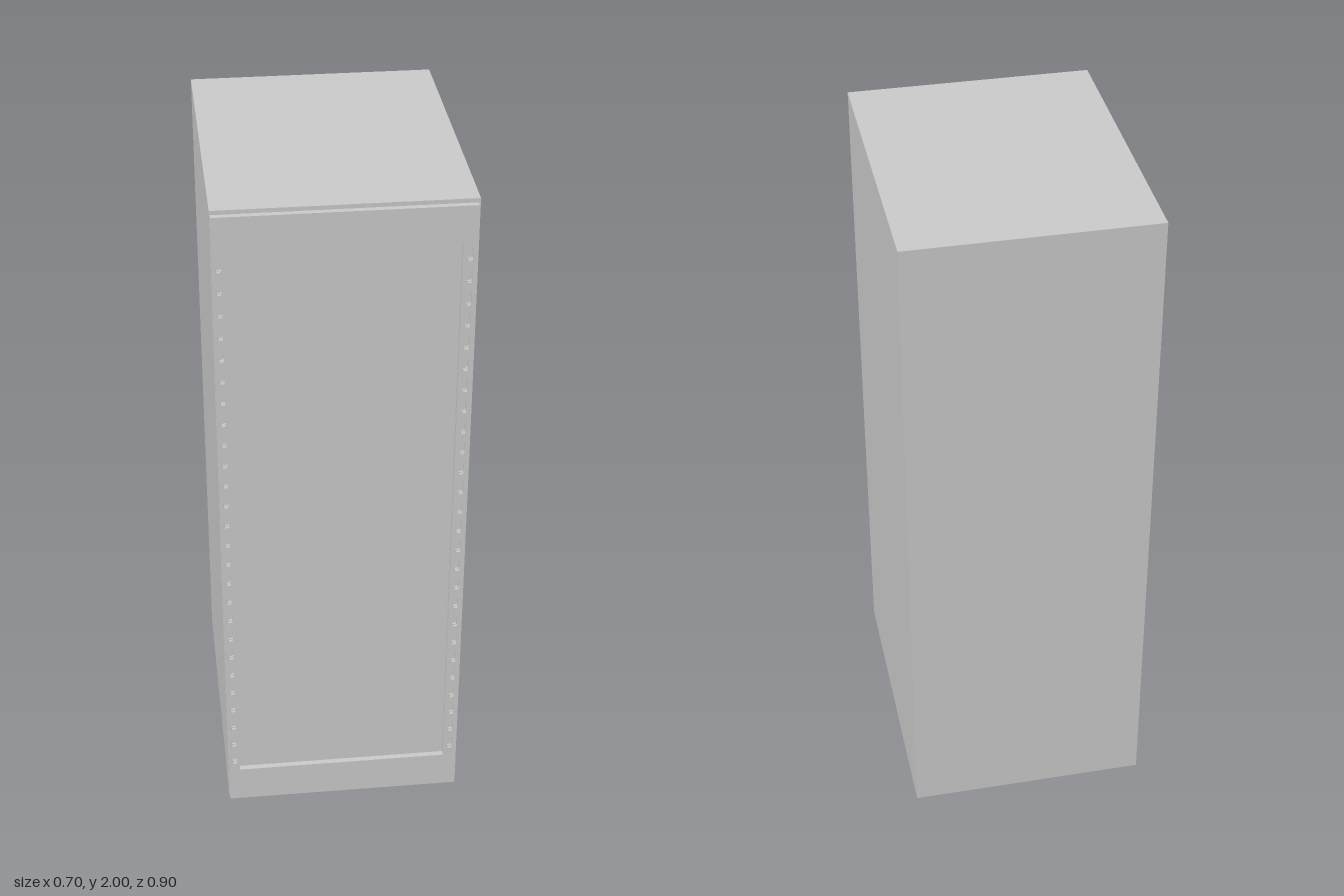
import * as THREE from 'three';

const material = new THREE.MeshStandardMaterial({ color: 0xcccccc, flatShading: true });

// Door outline and recessed opening
const DOOR = { x0: -0.35, x1: 0.347, y0: 0.01, y1: 1.988 };
const OPENING = { x0: -0.317, x1: 0.308, y0: 0.125, y1: 1.88 };

function add(parent, name, geometry) {
  const mesh = new THREE.Mesh(geometry, material);
  mesh.name = name;
  parent.add(mesh);
  return mesh;
}

function box(parent, name, [x0, x1], [y0, y1], [z0, z1]) {
  const mesh = add(parent, name, new THREE.BoxGeometry(x1 - x0, y1 - y0, z1 - z0));
  mesh.position.set((x0 + x1) / 2, (y0 + y1) / 2, (z0 + z1) / 2);
  return mesh;
}

function rectangle(Type, { x0, x1, y0, y1 }) {
  return new Type([[x0, y0], [x1, y0], [x1, y1], [x0, y1]].map(([x, y]) => new THREE.Vector2(x, y)));
}

// Upright slot with small cut corners
function slot(cx, cy, w = 0.016, h = 0.042, c = 0.004) {
  const a = w / 2, b = h / 2;
  return new THREE.Path([
    [-a + c, -b], [a - c, -b], [a, -b + c], [a, b - c],
    [a - c, b], [-a + c, b], [-a, b - c], [-a, -b + c],
  ].map(([x, y]) => new THREE.Vector2(cx + x, cy + y)));
}

// Frame layer with the opening and two columns of slots
function doorLayer(parent, name, z0, z1) {
  const shape = rectangle(THREE.Shape, DOOR);
  shape.holes.push(rectangle(THREE.Path, OPENING));
  for (const x of [-0.334, 0.327]) {
    for (let i = 0; i < 26; i++) shape.holes.push(slot(x, 0.173 + i * 0.0671));
  }
  const mesh = add(parent, name, new THREE.ExtrudeGeometry(shape, { depth: z1 - z0, bevelEnabled: false }));
  mesh.position.z = z0;
}

export function createModel() {
  const model = new THREE.Group();
  model.name = 'cabinet';

  // Main cabinet body; its front is the recessed door panel
  box(model, 'body', [-0.352, 0.352], [0.01, 2], [-0.45, 0.433]);

  // Shallow plinth tapering towards the floor
  const plinth = new THREE.BoxGeometry(1, 0.01, 1);
  const p = plinth.attributes.position;
  for (let i = 0; i < p.count; i++) {
    const low = p.getY(i) < 0;
    p.setX(i, Math.sign(p.getX(i)) * (low ? 0.31 : 0.345));
    p.setZ(i, Math.sign(p.getZ(i)) * (low ? 0.405 : 0.443));
  }
  plinth.computeVertexNormals();
  add(model, 'plinth', plinth).position.y = 0.005;

  // Slotted door frame, with a narrow seam along both sides
  const door = new THREE.Group();
  door.name = 'door';
  model.add(door);
  doorLayer(door, 'rearFrame', 0.433, 0.439);
  doorLayer(door, 'frontFrame', 0.443, 0.45);
  box(door, 'topRail', [DOOR.x0, DOOR.x1], [OPENING.y1, DOOR.y1], [0.439, 0.443]);
  box(door, 'bottomRail', [DOOR.x0, DOOR.x1], [DOOR.y0, OPENING.y0], [0.439, 0.443]);

  return model;
}
